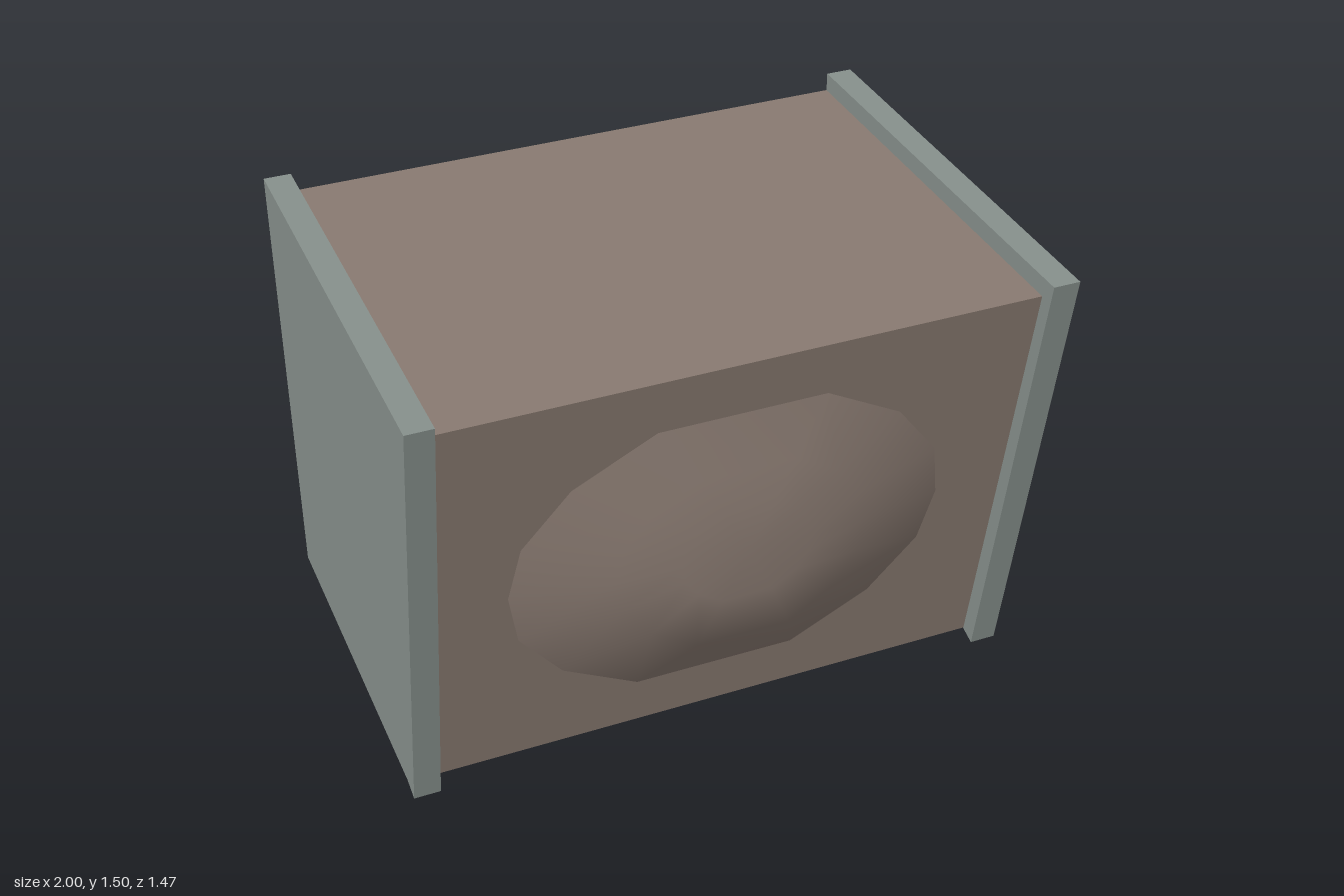
import * as THREE from 'three';

const panelMat = new THREE.MeshStandardMaterial({ color: 0x87908c });
panelMat.name = 'greyGreen';
const bodyMat = new THREE.MeshStandardMaterial({ color: 0x897a71 });
bodyMat.name = 'warmBrown';

// Extrude a side profile of (z, y) points along x, starting at x0
function profileMesh(name, points, x0, width, material) {
  const shape = new THREE.Shape(points.map(([z, y]) => new THREE.Vector2(z, y)));
  const geo = new THREE.ExtrudeGeometry(shape, { depth: width, bevelEnabled: false });
  geo.rotateY(-Math.PI / 2);
  geo.translate(x0 + width, 0, 0);
  const mesh = new THREE.Mesh(geo, material);
  mesh.name = name;
  return mesh;
}

// Slope of the body's front face
const frontZ = (y) => 0.45 + 0.162 * (y - 0.02);

// Faceted oval dome: rings shrinking from the rim to a central point
function bulgeGeometry() {
  const right = [[0.26, 0.2], [0.51, 0.35], [0.655, 0.54], [0.69, 0.73], [0.655, 0.92], [0.51, 1.11], [0.26, 1.255]];
  const rim = [...right, ...right.map(([x, y]) => [-x, y]).reverse()];
  const n = rim.length;
  const rings = [
    { scale: 1, cy: 0.73 },
    { scale: 0.57, cy: 0.78, z: 0.688 },
    { scale: 0.3, cy: 0.8, z: 0.706 },
  ];
  const positions = [];
  const indices = [];
  rings.forEach(({ scale, cy, z }, k) => {
    rim.forEach(([rx, ry]) => {
      const x = rx * scale;
      const y = cy + (ry - 0.73) * scale;
      positions.push(x, y, z === undefined ? frontZ(y) : z - 0.12 * x * x);
    });
    for (let i = 0; i < n; i++) {
      const a = k * n + i;
      const b = k * n + ((i + 1) % n);
      if (k < rings.length - 1) indices.push(a, b, a + n, b, b + n, a + n);
      else indices.push(a, b, rings.length * n);
    }
  });
  positions.push(0, 0.81, 0.71);
  const geo = new THREE.BufferGeometry();
  geo.setAttribute('position', new THREE.Float32BufferAttribute(positions, 3));
  geo.setIndex(indices);
  geo.computeVertexNormals();
  return geo;
}

export function createModel() {
  const group = new THREE.Group();
  group.name = 'box';

  // Main body between the panels
  const bodyProfile = [[-0.735, 0.02], [frontZ(0.02), 0.02], [frontZ(1.44), 1.44], [-0.735, 1.44]];
  group.add(profileMesh('body', bodyProfile, -0.915, 1.83, bodyMat));

  // Side panels with a slanted front edge and a small toe
  const panelProfile = [[-0.735, 0.02], [0.44, 0.02], [0.505, 0], [0.735, 1.5], [-0.735, 1.5]];
  group.add(profileMesh('leftPanel', panelProfile, 0.915, 0.085, panelMat));
  group.add(profileMesh('rightPanel', panelProfile, -1, 0.085, panelMat));

  // Oval bulge on the front
  const bulge = new THREE.Mesh(bulgeGeometry(), bodyMat);
  bulge.name = 'frontBulge';
  group.add(bulge);

  return group;
}
